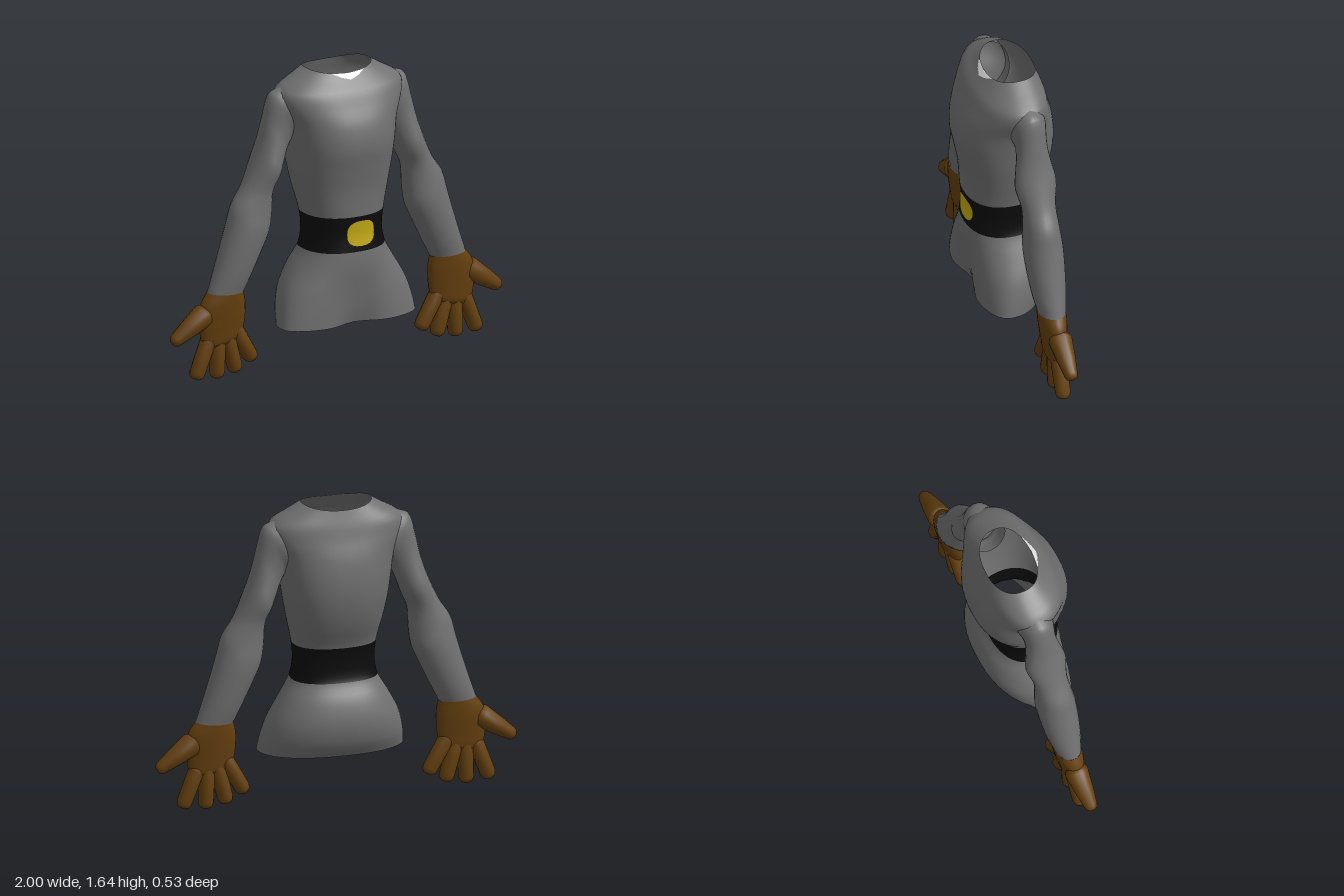
import * as THREE from 'three';

const paint = (name, color, side = THREE.FrontSide) => {
  const m = new THREE.MeshStandardMaterial({ color, side });
  m.name = name;
  return m;
};

// Torso sections: y, half width, front z, back z, z of widest point, front hollow
const SECTIONS = [
  [0.26, 0.4, 0.22, -0.16, 0.08, 0.06],
  [0.34, 0.388, 0.22, -0.21, 0.06, 0.04],
  [0.45, 0.355, 0.218, -0.23, 0.03, 0.02],
  [0.57, 0.29, 0.215, -0.205, 0, 0],
  [0.665, 0.235, 0.213, -0.158, 0, 0],
  [0.76, 0.217, 0.205, -0.15, 0, 0],
  [0.86, 0.226, 0.213, -0.165, 0, 0],
  [1.0, 0.256, 0.222, -0.225, -0.01, 0],
  [1.13, 0.28, 0.245, -0.258, -0.02, 0],
  [1.25, 0.295, 0.266, -0.264, -0.03, 0],
  [1.37, 0.315, 0.25, -0.248, -0.03, 0],
  [1.48, 0.36, 0.2, -0.215, -0.03, 0],
  [1.55, 0.355, 0.165, -0.198, -0.03, 0],
  [1.6, 0.275, 0.13, -0.185, -0.035, 0],
  [1.65, 0.19, 0.095, -0.17, -0.035, 0],
];
const ROUND = 2.3;

// Smooth interpolation of the torso sections at a given height
function section(y) {
  const S = SECTIONS, last = S.length - 1;
  let k = 0;
  while (k < last - 1 && y > S[k + 1][0]) k++;
  const h = S[k + 1][0] - S[k][0], t = (y - S[k][0]) / h;
  const slope = (i, c) => {
    const a = S[Math.max(i - 1, 0)], b = S[Math.min(i + 1, last)];
    return (b[c] - a[c]) / (b[0] - a[0]);
  };
  return S[k].map((v, c) =>
    (2 * t ** 3 - 3 * t * t + 1) * v + (t ** 3 - 2 * t * t + t) * h * slope(k, c) +
    (3 * t * t - 2 * t ** 3) * S[k + 1][c] + (t ** 3 - t * t) * h * slope(k + 1, c));
}

function torsoPoint(y, angle) {
  const [, w, front, back, mid, hollow] = section(y);
  const power = (v) => Math.sign(v) * Math.abs(v) ** (2 / ROUND);
  const c = Math.cos(angle), s = Math.sin(angle), x = w * power(c);
  let z = mid + power(s) * (s > 0 ? front - mid : mid - back);
  if (s > 0) z -= hollow * Math.exp(-((x / 0.12) ** 2));
  // the neckline dips at front and back
  const dip = 0.022 * THREE.MathUtils.smoothstep(y, 1.5, 1.65) * s * s;
  return [x, y - dip, z];
}

// Closed rings stacked upwards and skinned
function skin(rings, sides, point) {
  const pos = [], index = [];
  for (let j = 0; j < rings; j++) {
    for (let i = 0; i < sides; i++) {
      pos.push(...point(j, (i / sides) * Math.PI * 2));
      if (j === rings - 1) continue;
      const a = j * sides + i, b = j * sides + ((i + 1) % sides);
      index.push(a, a + sides, b, b, a + sides, b + sides);
    }
  }
  const g = new THREE.BufferGeometry();
  g.setAttribute('position', new THREE.Float32BufferAttribute(pos, 3));
  g.setIndex(index);
  g.computeVertexNormals();
  return g;
}

// Limb skinned between an outer and an inner outline; third value is half depth
function limb(outer, inner, steps) {
  const curve = (pts) => new THREE.CatmullRomCurve3(
    pts.map((p) => new THREE.Vector3(...p)), false, 'catmullrom');
  const a = curve(outer), b = curve(inner);
  return skin(steps + 1, 24, (j, angle) => {
    const p = a.getPoint(1 - j / steps), q = b.getPoint(1 - j / steps);
    const c = Math.cos(angle) / 2;
    return [(p.x + q.x) / 2 + (p.x - q.x) * c, (p.y + q.y) / 2 + (p.y - q.y) * c,
      -0.036 + p.z * Math.sin(angle)];
  });
}

// Thin patch lying on the front of the torso, from an outline in x and y
function patch(outline, cx, cy) {
  const rings = 5, n = outline.length, pos = [], index = [];
  for (let r = 0; r <= rings; r++) {
    outline.forEach(([ox, oy], i) => {
      const x = cx + ((ox - cx) * r) / rings, y = cy + ((oy - cy) * r) / rings;
      const c = Math.sign(x) * Math.min(1, Math.abs(x) / section(y)[1]) ** (ROUND / 2);
      const p = torsoPoint(y, Math.acos(c));
      pos.push(p[0], p[1], p[2] + 0.005);
      if (r === rings) return;
      const a = r * n + i, b = r * n + ((i + 1) % n);
      index.push(a, a + n, b + n, a, b + n, b);
    });
  }
  const g = new THREE.BufferGeometry();
  g.setAttribute('position', new THREE.Float32BufferAttribute(pos, 3));
  g.setIndex(index);
  g.computeVertexNormals();
  return g;
}

// Tapered round-tipped finger from base to tip
function finger([x0, y0], [x1, y1], r0, r1) {
  const from = new THREE.Vector3(x0, y0, -0.04), dir = new THREE.Vector3(x1 - x0, y1 - y0, 0);
  const len = dir.length();
  const profile = [[0, -r0 * 0.7], [r0 * 0.7, -r0 * 0.5], [r0, 0], [(r0 + r1) / 2, len * 0.5],
    [r1, len - r1 * 0.8], [r1 * 0.85, len - r1 * 0.3], [r1 * 0.55, len - r1 * 0.05], [0, len]];
  const g = new THREE.LatheGeometry(profile.map((p) => new THREE.Vector2(...p)), 14);
  g.applyQuaternion(new THREE.Quaternion().setFromUnitVectors(
    new THREE.Vector3(0, 1, 0), dir.normalize()));
  return g.translate(from.x, from.y, from.z);
}

export function createModel() {
  const cloth = paint('grey cloth', 0x707070, THREE.DoubleSide);
  const black = paint('black belt', 0x0c0c0c, THREE.DoubleSide);
  const brown = paint('brown glove', 0x65400f);
  const yellow = paint('yellow buckle', 0xc4aa16, THREE.DoubleSide);
  const white = paint('white undershirt', 0xf0f0f0, THREE.DoubleSide);

  const model = new THREE.Group();
  const add = (parent, name, geometry, material) => {
    const mesh = new THREE.Mesh(geometry, material);
    mesh.name = name;
    parent.add(mesh);
  };

  // Torso: skirt, belt band and shirt share one smooth skin
  const heights = [], sides = 56;
  const span = (y0, y1, n) => {
    for (let i = 0; i < n; i++) heights.push(y0 + ((y1 - y0) * i) / n);
  };
  span(0.26, 0.665, 14);
  span(0.665, 0.86, 8);
  span(0.86, 1.65, 32);
  heights.push(1.65);
  const torso = skin(heights.length, sides, (j, angle) => torsoPoint(heights[j], angle));
  [[0, 14, 0], [14, 8, 1], [22, 32, 0]].forEach(([start, count, m]) =>
    torso.addGroup(start * sides * 6, count * sides * 6, m));
  add(model, 'torsoWithBelt', torso, [cloth, black]);

  // Belt buckle and undershirt at the neckline
  const oval = Array.from({ length: 24 }, (_, i) => {
    const a = (i / 24) * Math.PI * 2, p = (v) => Math.sign(v) * Math.abs(v) ** 0.75;
    return [0.015 + 0.084 * p(Math.cos(a)), 0.765 + 0.07 * p(Math.sin(a))];
  });
  add(model, 'buckle', patch(oval, 0.015, 0.765), yellow);
  add(model, 'undershirt',
    patch([[-0.1, 1.65], [-0.05, 1.63], [0, 1.615], [0.05, 1.63], [0.1, 1.65], [0, 1.65]], 0, 1.64),
    white);

  // Sleeves and gloves, mirrored
  for (const side of [1, -1]) {
    const arm = new THREE.Group();
    arm.name = side > 0 ? 'leftArm' : 'rightArm';
    arm.scale.x = side;
    add(arm, 'sleeve', limb(
      [[0.28, 1.575, 0.1], [0.36, 1.555, 0.1], [0.408, 1.525, 0.088], [0.437, 1.42, 0.085],
        [0.465, 1.3, 0.1], [0.502, 1.19, 0.113], [0.565, 1.05, 0.092], [0.63, 0.95, 0.096],
        [0.658, 0.85, 0.106], [0.69, 0.74, 0.104], [0.735, 0.6, 0.092], [0.775, 0.485, 0.073]],
      [[0.2, 1.32, 0], [0.25, 1.29, 0], [0.285, 1.27, 0], [0.312, 1.22, 0],
        [0.337, 1.16, 0], [0.363, 1.09, 0], [0.396, 1.01, 0], [0.403, 0.89, 0],
        [0.42, 0.79, 0], [0.465, 0.69, 0], [0.525, 0.565, 0], [0.57, 0.475, 0]], 44), cloth);
    const glove = new THREE.Group();
    glove.name = 'glove';
    add(glove, 'palm', limb(
      [[0.776, 0.487, 0.074], [0.815, 0.43, 0.071], [0.83, 0.36, 0.064], [0.825, 0.27, 0.053],
        [0.808, 0.2, 0.044], [0.77, 0.175, 0.02], [0.7, 0.185, 0.002]],
      [[0.569, 0.477, 0], [0.557, 0.42, 0], [0.555, 0.36, 0], [0.562, 0.29, 0],
        [0.58, 0.235, 0], [0.625, 0.2, 0], [0.69, 0.19, 0]], 24), brown);
    add(glove, 'thumb', finger([0.8, 0.37], [0.99, 0.24], 0.065, 0.037), brown);
    [[[0.775, 0.22], [0.852, 0.02]], [[0.715, 0.22], [0.722, 0.008]],
      [[0.66, 0.23], [0.605, 0.025]], [[0.61, 0.26], [0.505, 0.075]]].forEach(([base, tip], i) =>
      add(glove, ['indexFinger', 'middleFinger', 'ringFinger', 'littleFinger'][i],
        finger(base, tip, 0.044, 0.042), brown));
    arm.add(glove);
    model.add(arm);
  }
  return model;
}
